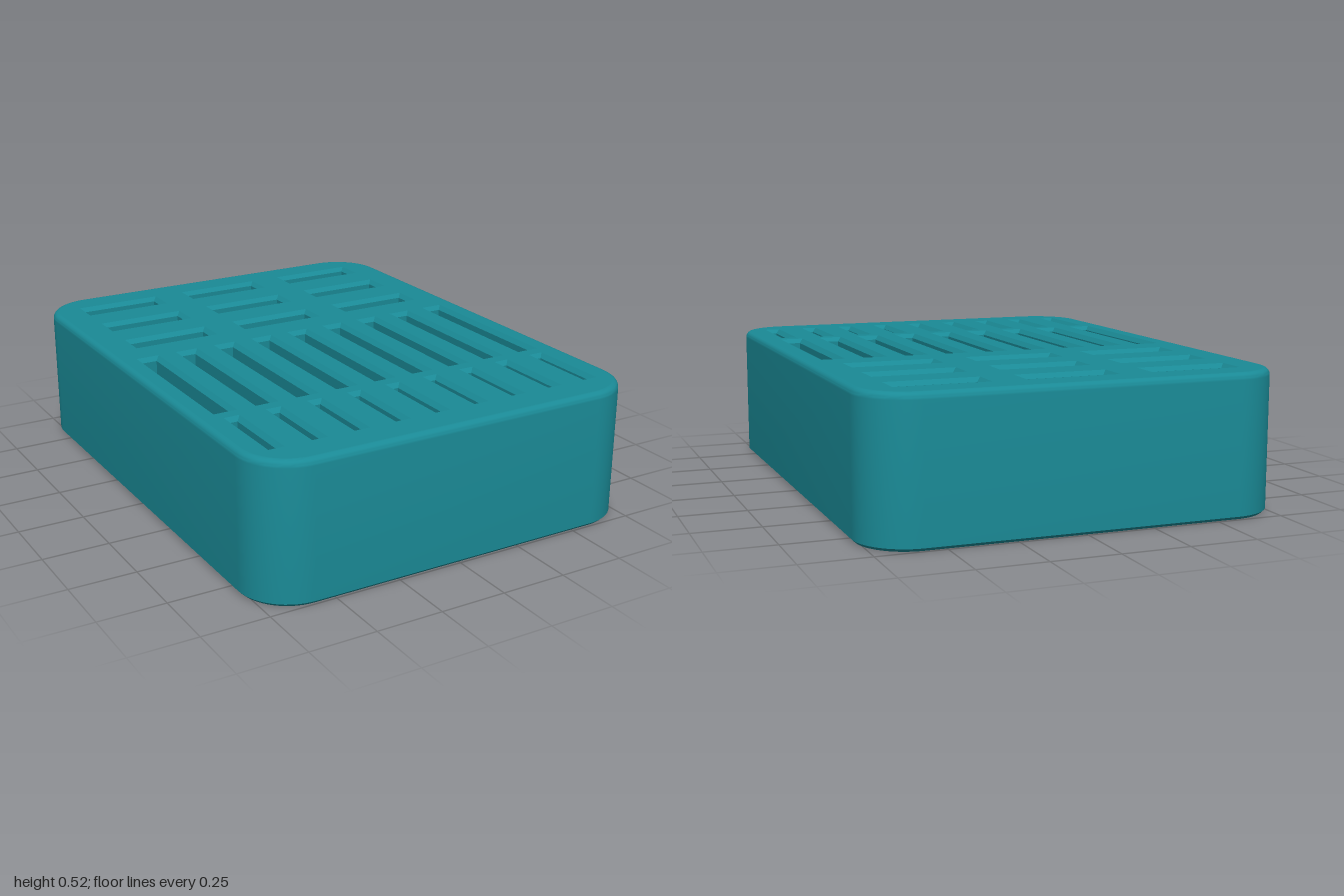
import * as THREE from 'three';
import { mergeGeometries, toCreasedNormals } from 'three/addons/utils/BufferGeometryUtils.js';

const W = 1.54, D = 2, H = 0.52, CORNER = 0.19;
const FILLET = 0.025, FOOT = 0.011, RIM = 0.016;

// Counter-clockwise rectangle outline (shape y = -z), with rounded corners if r > 0
function outline(w, d, r = 0, cx = 0, cz = 0) {
  const steps = r > 0 ? 14 : 0, pts = [];
  for (let q = 0; q < 4; q++) {
    const sx = q === 0 || q === 3 ? 1 : -1, sy = q < 2 ? 1 : -1;
    for (let i = 0; i <= steps; i++) {
      const a = (q + (steps ? i / steps : 0)) * Math.PI / 2;
      pts.push(new THREE.Vector2(
        cx + sx * (w / 2 - r) + r * Math.cos(a),
        -cz + sy * (d / 2 - r) + r * Math.sin(a)));
    }
  }
  return pts;
}

// Wall through a stack of outlines; faces outward going up, inward going down
function loft(levels) {
  const n = levels[0].pts.length, pos = [], idx = [];
  levels.forEach(({ pts, y }) => pts.forEach(p => pos.push(p.x, y, -p.y)));
  for (let i = 0; i < levels.length - 1; i++) {
    for (let j = 0; j < n; j++) {
      const a = i * n + j, b = i * n + (j + 1) % n;
      idx.push(a, b, b + n, a, b + n, a + n);
    }
  }
  const g = new THREE.BufferGeometry();
  g.setAttribute('position', new THREE.Float32BufferAttribute(pos, 3));
  g.setIndex(idx);
  return toCreasedNormals(g, Math.PI / 6);
}

// Flat cap at height y, optionally pierced by holes
function cap(pts, y, holes = [], up = true) {
  const shape = new THREE.Shape(pts);
  shape.holes = holes.map(h => new THREE.Path(h));
  const g = new THREE.ShapeGeometry(shape).toNonIndexed();
  g.deleteAttribute('uv');
  return g.rotateX(up ? -Math.PI / 2 : Math.PI / 2).translate(0, y, 0);
}

// Pocket with a chamfered rim, straight walls and a flat floor
function pocket({ x, z, w, d, depth }) {
  const inner = outline(w - 2 * RIM, d - 2 * RIM, 0, x, z);
  return mergeGeometries([
    loft([
      { pts: outline(w, d, 0, x, z), y: H },
      { pts: inner, y: H - RIM },
      { pts: inner, y: H - depth },
    ]),
    cap(inner, H - depth),
  ]);
}

export function createModel() {
  const group = new THREE.Group();
  group.name = 'cardAndStickHolder';
  const material = new THREE.MeshStandardMaterial({ color: 0x1a8a96 });
  const add = (name, geometry) => {
    const mesh = new THREE.Mesh(geometry, material);
    mesh.name = name;
    group.add(mesh);
  };

  // Slot layout: three rows of stick slots behind, long then short card slots in front
  const stickSlots = [], longSlots = [], shortSlots = [];
  for (let row = 0; row < 3; row++) {
    for (let col = -1; col <= 1; col++) {
      stickSlots.push({ x: col * 0.47, z: -0.812 + row * 0.241, w: 0.346, d: 0.116, depth: 0.3 });
    }
  }
  for (let i = -4; i <= 4; i++) {
    longSlots.push({ x: i * 0.162, z: 0.172, w: 0.09, d: 0.656, depth: 0.34 });
    shortSlots.push({ x: i * 0.162, z: 0.706, w: 0.06, d: 0.318, depth: 0.2 });
  }
  const slots = [...stickSlots, ...longSlots, ...shortSlots];

  // Body side: chamfered foot, upright wall, rounded top edge
  const inset = (t, y) => ({ pts: outline(W - 2 * t, D - 2 * t, CORNER - t), y });
  const levels = [inset(FOOT, 0), inset(0, FOOT)];
  for (let i = 0; i <= 6; i++) {
    const a = i / 6 * Math.PI / 2;
    levels.push(inset(FILLET * (1 - Math.cos(a)), H - FILLET * (1 - Math.sin(a))));
  }
  add('bodySide', loft(levels));
  add('base', cap(levels[0].pts.map(p => new THREE.Vector2(p.x, -p.y)).reverse(), 0, [], false));
  add('topFace', cap(levels.at(-1).pts, H, slots.map(s => outline(s.w, s.d, 0, s.x, s.z).reverse())));

  // Slot linings
  add('stickSlots', mergeGeometries(stickSlots.map(pocket)));
  add('longCardSlots', mergeGeometries(longSlots.map(pocket)));
  add('shortCardSlots', mergeGeometries(shortSlots.map(pocket)));
  return group;
}
